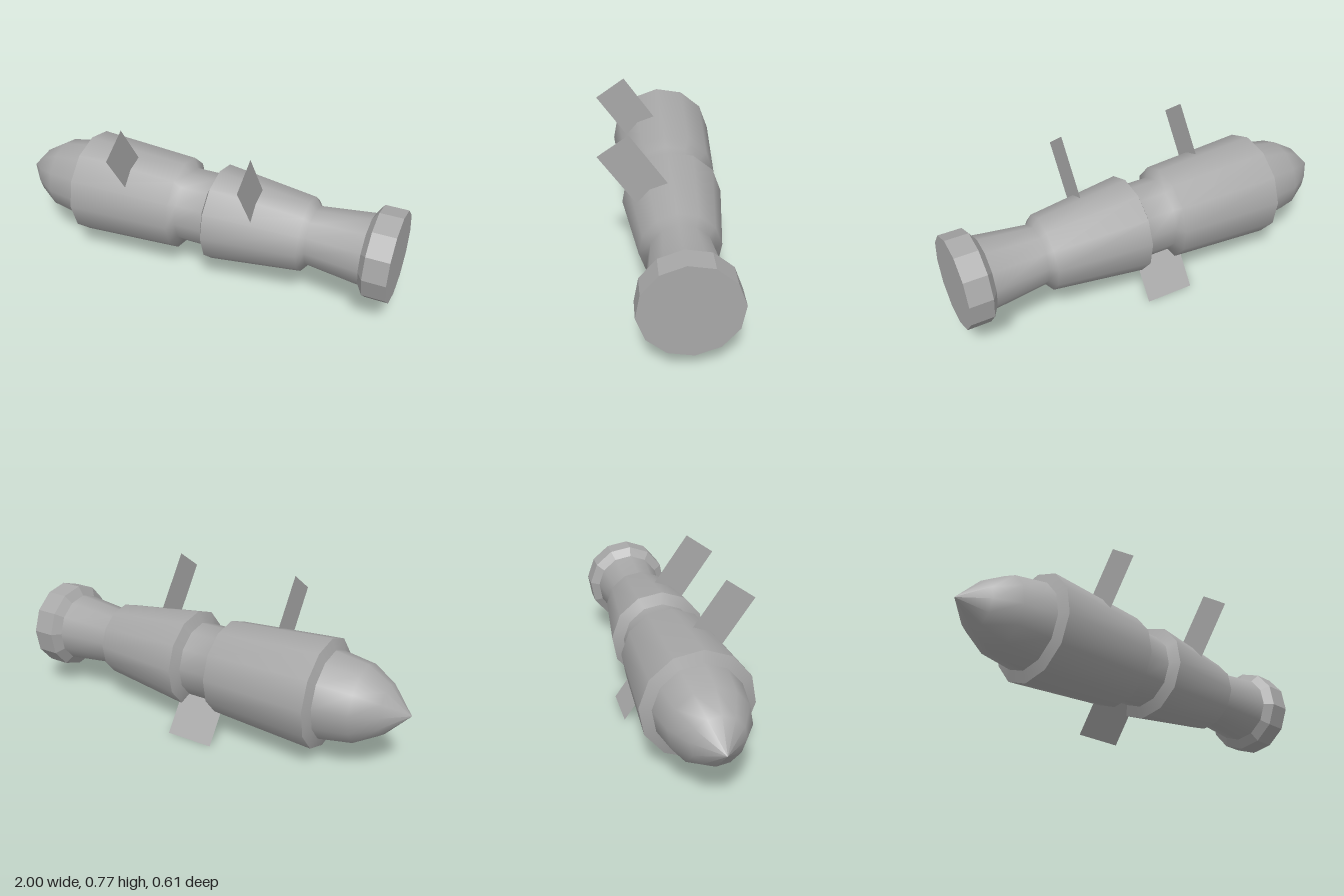
import * as THREE from 'three';

export function createModel() {
  const root = new THREE.Group();
  const grey = new THREE.MeshStandardMaterial({ color: 0xa8a8a8, side: THREE.DoubleSide });
  grey.name = 'grey metal';

  // Everything is placed relative to the long axis of the body
  const axis = new THREE.Group();
  axis.name = 'bombBody';
  axis.position.set(0, 0.325, -0.044);
  root.add(axis);

  const add = (name, geometry) => {
    const mesh = new THREE.Mesh(geometry, grey);
    mesh.name = name;
    axis.add(mesh);
    return mesh;
  };

  // Twelve-sided turned section along x, from [x, radius] pairs
  const turned = (name, profile, flat = false) => {
    const points = profile.map(([x, r]) => new THREE.Vector2(r, x));
    let geometry = new THREE.LatheGeometry(points, 12, 0.087).rotateZ(-Math.PI / 2);
    if (flat) {
      geometry = geometry.toNonIndexed();
      geometry.computeVertexNormals();
    }
    return add(name, geometry);
  };

  turned('noseCone', [[-1, 0], [-0.89, 0.118], [-0.78, 0.184], [-0.62, 0.21]]);
  turned('frontRim', [[-0.62, 0.21], [-0.6, 0.263]]);
  turned('frontBarrel', [[-0.6, 0.263], [-0.075, 0.231], [-0.05, 0.185], [0.09, 0.185]]);
  turned('middleRim', [[0.09, 0.185], [0.115, 0.239]]);
  turned('rearBarrel', [[0.115, 0.239], [0.57, 0.182], [0.6, 0.145], [0.86, 0.174]]);
  turned('tailFlare', [[0.86, 0.174], [0.89, 0.219]], true);
  turned('tailRing', [[0.89, 0.219], [1, 0.219]], true);
  turned('tailCap', [[1, 0.219], [1, 0]], true);

  // Flat plates tilted about the long axis
  const tilt = 0.614;
  const plate = (name, geometry, inner, outer, x) => {
    geometry.translate(0, (inner + outer) / 2, 0).rotateX(tilt);
    add(name, geometry).position.x = x;
  };

  // Two upper lugs facing along the body
  for (const [name, x] of [['frontLug', -0.31], ['rearLug', 0.344]]) {
    plate(name, new THREE.PlaneGeometry(0.172, 0.334).rotateY(Math.PI / 2), 0.15, 0.484, x);
  }

  // Lower fin lying in the plane of the long axis
  plate('lowerFin', new THREE.PlaneGeometry(0.24, 0.248), -0.15, -0.398, 0.01);

  return root;
}
